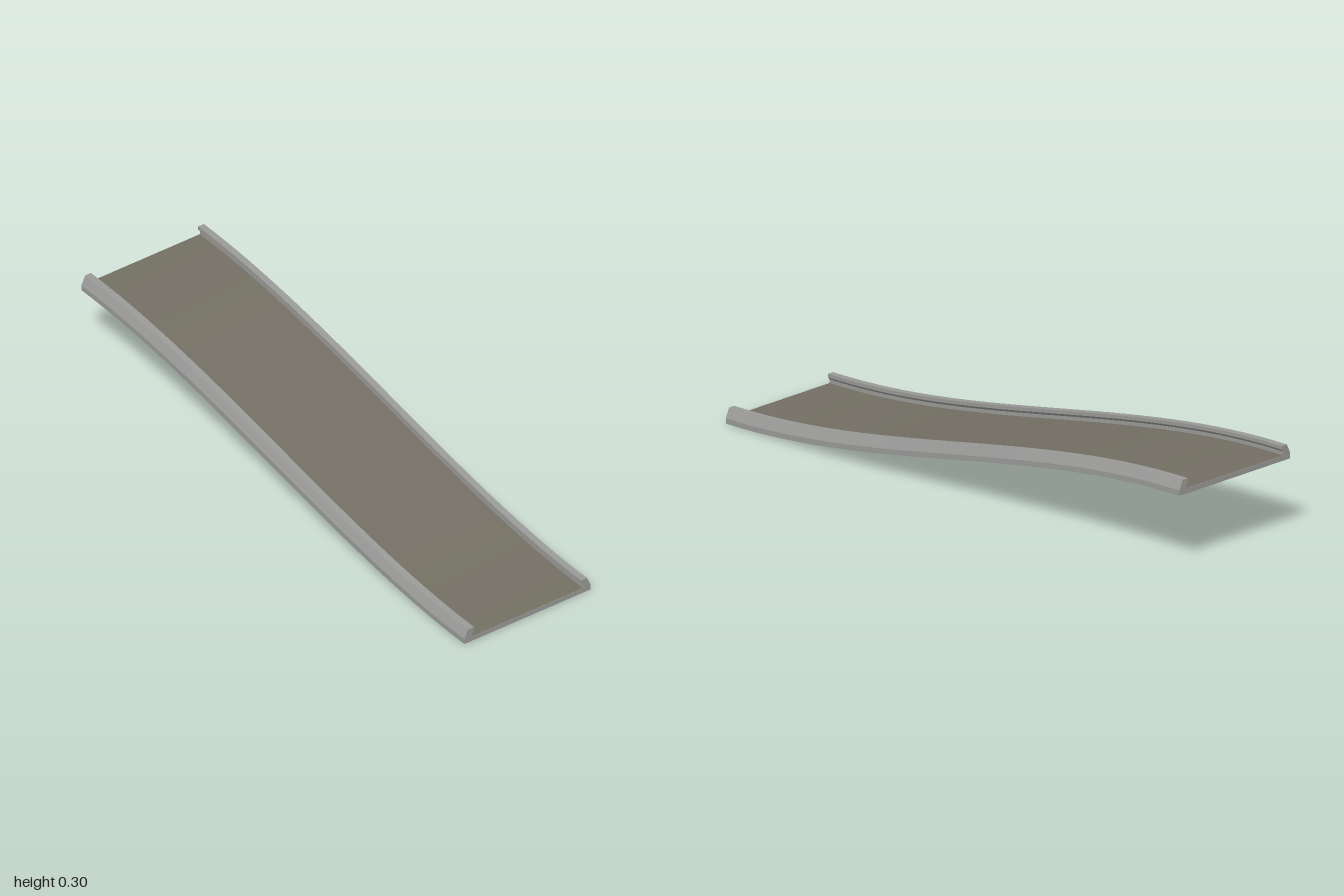
import * as THREE from 'three';
import { toCreasedNormals } from 'three/addons/utils/BufferGeometryUtils.js';

const STEPS = 32, RISE = 0.25;

// Height of the S-shaped ramp, low at the front (z = 1) and high at the back
const rampHeight = (z) => RISE * THREE.MathUtils.smoothstep(-z, -1, 1);

function bendToRamp(geo) {
  const p = geo.attributes.position;
  for (let i = 0; i < p.count; i++) p.setY(i, p.getY(i) + rampHeight(p.getZ(i)));
  return toCreasedNormals(geo, 0.25);
}

export function createModel() {
  const group = new THREE.Group();
  group.name = 'curvedRamp';
  const grey = new THREE.MeshStandardMaterial({ name: 'railGrey', color: 0x9a9a99 });
  const brown = new THREE.MeshStandardMaterial({ name: 'floorBrown', color: 0x736f63 });

  // Channel: base slab with an overhanging lip along each side
  const half = [
    [0.25, 0], [0.25, 0.018], [0.235, 0.05], [0.212, 0.05],
    [0.212, 0.038], [0.219, 0.03], [0.219, 0.0165],
  ];
  const outline = [...half, ...half.map(([x, y]) => [-x, y]).reverse()];
  const shape = new THREE.Shape(outline.map(([x, y]) => new THREE.Vector2(x, y)));
  const channel = new THREE.ExtrudeGeometry(shape, { depth: 2, steps: STEPS, bevelEnabled: false });
  channel.translate(0, 0, -1);
  const frame = new THREE.Mesh(bendToRamp(channel), grey);
  frame.name = 'frameWithSideRails';
  group.add(frame);

  // Floor surface between the rails
  const sheet = new THREE.PlaneGeometry(0.438, 2, 1, STEPS);
  sheet.rotateX(-Math.PI / 2).translate(0, 0.0175, 0);
  const floor = new THREE.Mesh(bendToRamp(sheet), brown);
  floor.name = 'floor';
  group.add(floor);

  return group;
}
